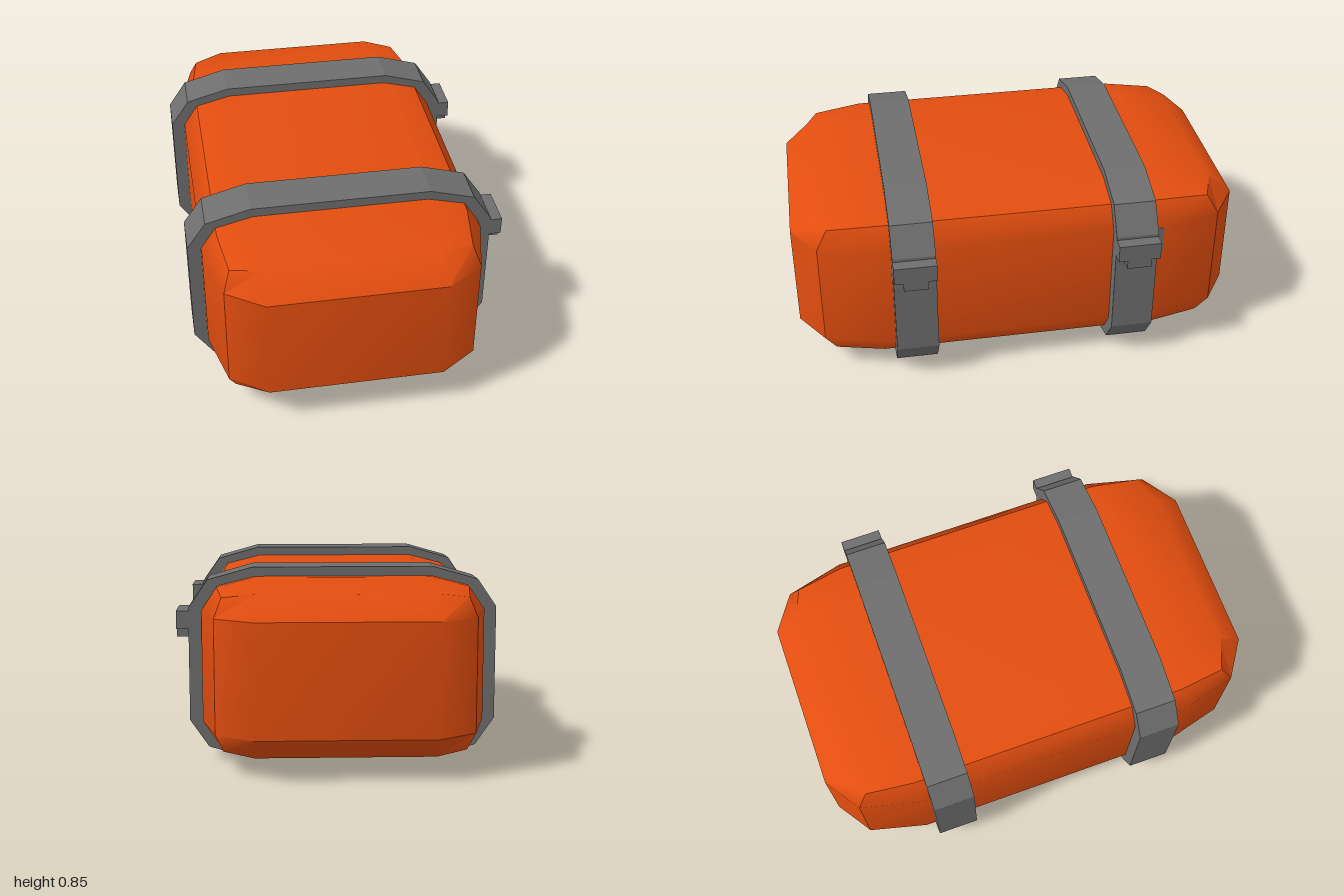
import * as THREE from 'three';

const CX = -0.03, CY = 0.4225;

// Area-weighted normals that stay sharp across edges steeper than the given angle
function creaseNormals(source, angle) {
  const g = source.toNonIndexed();
  const p = g.attributes.position, at = new Map(), faces = [];
  const point = (i) => new THREE.Vector3().fromBufferAttribute(p, i);
  const key = (i) => point(i).toArray().map((v) => Math.round(v * 1e4)).join();
  for (let i = 0; i < p.count; i += 3) {
    const a = point(i);
    const area = point(i + 1).sub(a).cross(point(i + 2).sub(a));
    const face = { area, dir: area.clone().normalize() };
    faces.push(face);
    for (let k = i; k < i + 3; k++) {
      if (!at.has(key(k))) at.set(key(k), []);
      at.get(key(k)).push(face);
    }
  }
  for (let i = 0; i < p.count; i++) {
    const own = faces[Math.floor(i / 3)], n = new THREE.Vector3();
    for (const f of at.get(key(i))) if (f.dir.dot(own.dir) > Math.cos(angle)) n.add(f.area);
    n.normalize();
    g.attributes.normal.setXYZ(i, n.x, n.y, n.z);
  }
  return g;
}

// Box with two-step rounded edges, a different radius on each axis
function roundedBody() {
  const inner = [0.38, 0.2425, 0.63], radius = [0.228, 0.14, 0.37];
  const g = new THREE.BoxGeometry(2, 2, 2, 3, 3, 3);
  const p = g.attributes.position;
  for (let i = 0; i < p.count; i++) {
    const v = [p.getX(i), p.getY(i), p.getZ(i)];
    const d = v.map((c) => (Math.abs(c) > 0.5 ? Math.sign(c) : 0));
    const len = Math.hypot(...d);
    const q = v.map((c, k) => Math.sign(c) * inner[k] + (d[k] / len) * radius[k]);
    p.setXYZ(i, ...q);
  }
  return creaseNormals(g, THREE.MathUtils.degToRad(38));
}

// Twelve-sided outline mirrored from one quarter
function outline(quarter) {
  const back = [...quarter].reverse();
  return [
    ...quarter,
    ...back.map(([x, y]) => [-x, y]),
    ...quarter.map(([x, y]) => [-x, -y]),
    ...back.map(([x, y]) => [x, -y]),
  ].map(([x, y]) => new THREE.Vector2(x, y));
}

export function createModel() {
  const model = new THREE.Group();
  model.name = 'strappedCase';
  const orange = new THREE.MeshStandardMaterial({ color: 0xe24d0f });
  orange.name = 'orange shell';
  const grey = new THREE.MeshStandardMaterial({ color: 0x6e6e6e });
  grey.name = 'grey strap';

  const add = (name, geometry, material, x, y, z) => {
    const mesh = new THREE.Mesh(geometry, material);
    mesh.name = name;
    mesh.position.set(x, y, z);
    model.add(mesh);
    return mesh;
  };

  // Shell
  add('body', roundedBody(), orange, CX, CY, 0);

  // Strap: a closed band around the shell
  const width = 0.187;
  const band = new THREE.Shape(outline([[0.667, 0.2475], [0.585, 0.3675], [0.39, 0.4225]]));
  band.holes.push(new THREE.Path(outline([[0.6, 0.238], [0.532, 0.335], [0.375, 0.375]])));
  const strapGeometry = new THREE.ExtrudeGeometry(band, { depth: width, bevelEnabled: false });
  strapGeometry.translate(0, 0, -width / 2);

  // Buckle: T-shaped plate with a narrow tab below
  const h = width / 2, t = 0.054;
  const tee = new THREE.Shape([
    [-h, 0.578], [-t, 0.578], [-t, 0.538], [t, 0.538],
    [t, 0.578], [h, 0.578], [h, 0.657], [-h, 0.657],
  ].map(([x, y]) => new THREE.Vector2(x, y)));
  const buckleGeometry = new THREE.ExtrudeGeometry(tee, { depth: 0.06, bevelEnabled: false });
  buckleGeometry.rotateY(Math.PI / 2);

  for (const [side, z] of [['front', 0.486], ['rear', -0.491]]) {
    add(side + 'Strap', strapGeometry, grey, CX, CY, z);
    add(side + 'Buckle', buckleGeometry, grey, 0.63, 0, z);
  }

  // Small flush plate beside the rear strap
  add('rearPlate', new THREE.BoxGeometry(0.006, 0.12, 0.06), grey, 0.577, 0.597, -0.597);
  return model;
}
